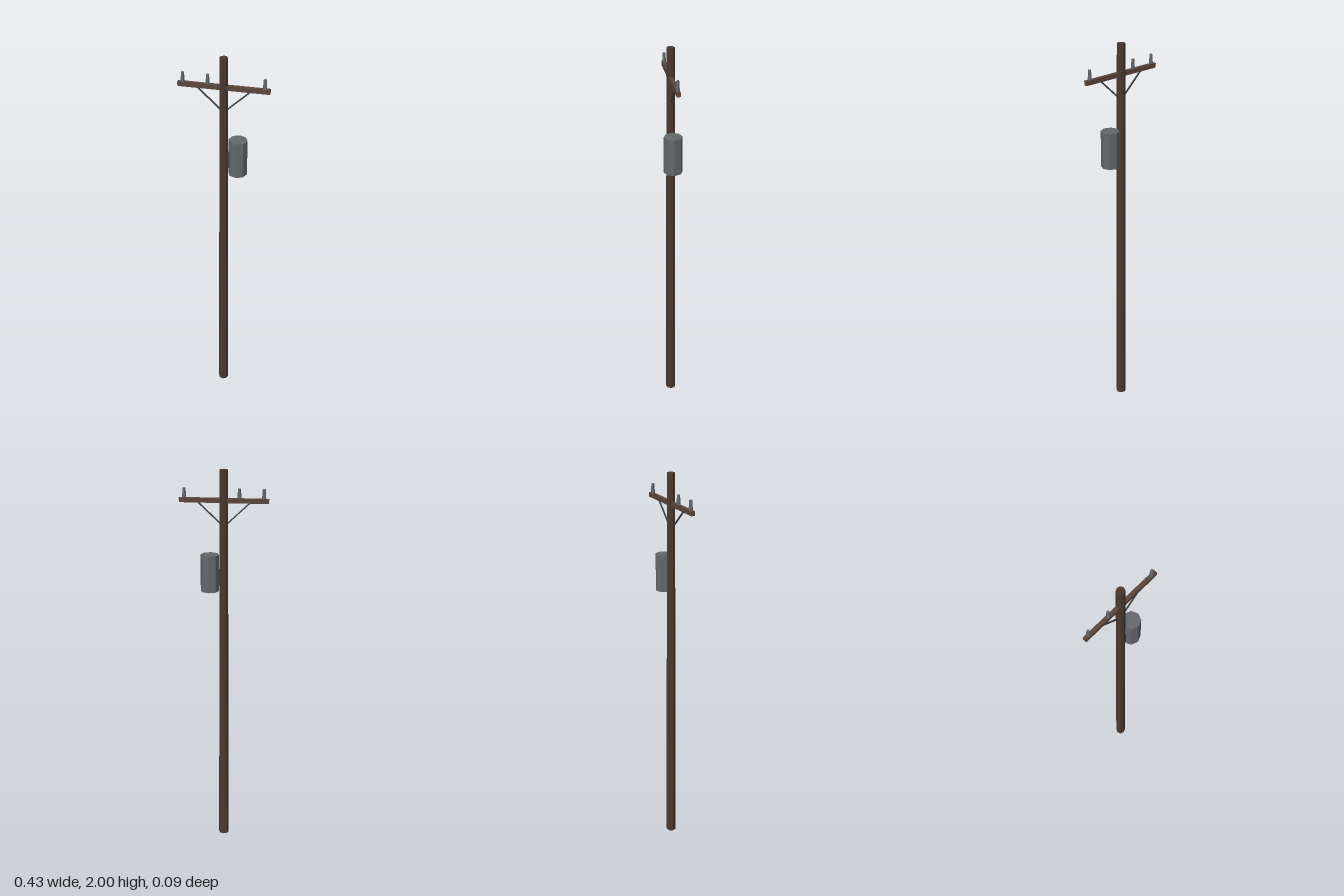
import * as THREE from 'three';

const material = (color) => new THREE.MeshStandardMaterial({ color, flatShading: true });

export function createModel() {
  const group = new THREE.Group();
  const poleWood = material(0x4a382f);
  const armWood = material(0x5c463a);
  const metal = material(0x63686c);
  const darkMetal = material(0x3c4043);

  const add = (name, geometry, mat, x, y, z = 0) => {
    const mesh = new THREE.Mesh(geometry, mat);
    mesh.name = name;
    mesh.position.set(x, y, z);
    group.add(mesh);
    return mesh;
  };

  // Tapered eight-sided pole
  add('pole', new THREE.CylinderGeometry(0.02, 0.0265, 2, 8), poleWood, 0, 1, 0);

  // Crossarm through the upper pole
  add('crossarm', new THREE.BoxGeometry(0.434, 0.022, 0.019), armWood, 0, 1.853);

  // Insulators on the crossarm, unevenly spaced
  const insulator = new THREE.CylinderGeometry(0.007, 0.0105, 0.05, 6).rotateY(Math.PI / 2);
  for (const x of [-0.193, -0.075, 0.192]) add('insulator', insulator, metal, x, 1.886);

  // Diagonal braces from the pole to the crossarm
  for (const side of [-1, 1]) {
    const low = new THREE.Vector2(side * 0.005, 1.73);
    const high = new THREE.Vector2(side * 0.13, 1.847);
    const span = high.clone().sub(low);
    const brace = add('brace', new THREE.BoxGeometry(span.length(), 0.006, 0.006), darkMetal,
      (low.x + high.x) / 2, (low.y + high.y) / 2);
    brace.rotation.z = span.angle();
  }

  // Transformer can and its mounting bracket
  add('transformer', new THREE.CylinderGeometry(0.046, 0.046, 0.185, 8), metal, 0.07, 1.493);
  add('transformerBracket', new THREE.BoxGeometry(0.03, 0.08, 0.018), darkMetal, 0.025, 1.47);

  return group;
}
